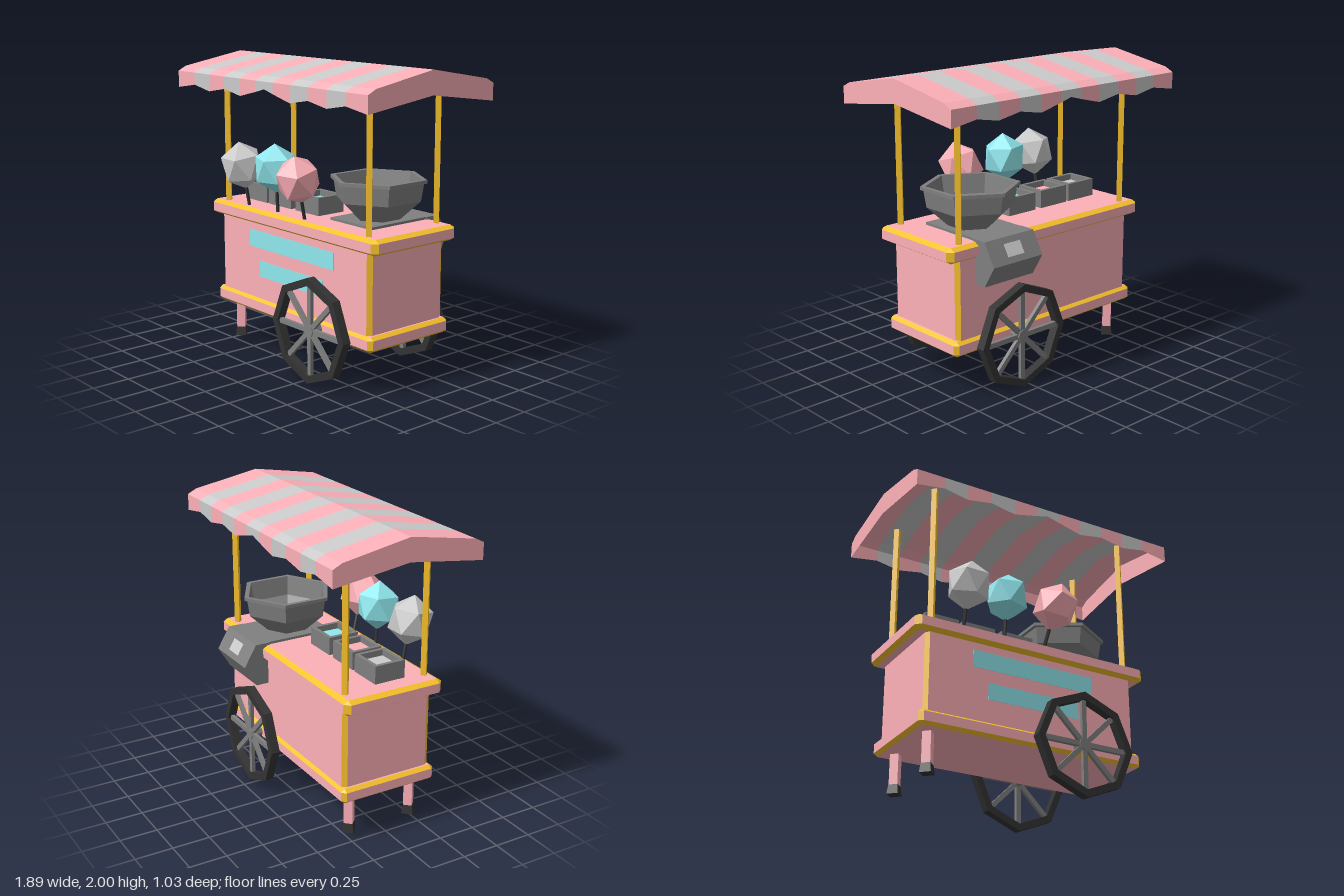
import * as THREE from 'three';
import { ConvexGeometry } from 'three/addons/geometries/ConvexGeometry.js';

const mat = (color) => new THREE.MeshStandardMaterial({ color, flatShading: true, side: THREE.DoubleSide });

export function createModel() {
  const root = new THREE.Group();
  const pink = mat(0xfeb0b8), grey = mat(0xcccccc), teal = mat(0x90e8ee), gold = mat(0xf9c22b);
  const steel = mat(0x808080), dark = mat(0x333333);

  const add = (name, geometry, material, x = 0, y = 0, z = 0, parent = root) => {
    const m = new THREE.Mesh(geometry, material);
    m.name = name;
    m.position.set(x, y, z);
    parent.add(m);
    return m;
  };
  const box = (w, h, d) => new THREE.BoxGeometry(w, h, d);
  const soup = (positions) => {
    const g = new THREE.BufferGeometry();
    g.setAttribute('position', new THREE.Float32BufferAttribute(positions, 3));
    g.computeVertexNormals();
    return g;
  };

  // Box with bevelled edges: flat sides in pink, bevels in gold
  function trimmedBox(name, w, h, d, bx, by, bz, y) {
    const points = [];
    for (const i of [-1, 1]) for (const j of [-1, 1]) for (const k of [-1, 1]) {
      const X = w / 2, Y = h / 2, Z = d / 2;
      points.push(
        new THREE.Vector3(i * X, j * (Y - by), k * (Z - bz)),
        new THREE.Vector3(i * (X - bx), j * Y, k * (Z - bz)),
        new THREE.Vector3(i * (X - bx), j * (Y - by), k * Z));
    }
    const hull = new ConvexGeometry(points);
    const p = hull.attributes.position.array, n = hull.attributes.normal.array;
    const sides = [], bevels = [];
    for (let t = 0; t < p.length; t += 9) {
      const flat = Math.max(Math.abs(n[t]), Math.abs(n[t + 1]), Math.abs(n[t + 2])) > 0.99;
      (flat ? sides : bevels).push(...p.slice(t, t + 9));
    }
    add(name, soup(sides), pink, 0, y);
    add(name + 'Trim', soup(bevels), gold, 0, y);
  }
  trimmedBox('counter', 1.67, 0.1, 0.705, 0.035, 0.02, 0.035, 0.96);
  trimmedBox('cartBody', 1.5, 0.53, 0.635, 0.022, 0.008, 0.03, 0.655);
  trimmedBox('baseBoard', 1.575, 0.1, 0.68, 0.026, 0.02, 0.026, 0.35);

  // Front stripes
  add('upperStripe', box(0.86, 0.115, 0.004), teal, 0, 0.803, 0.318);
  add('lowerStripe', box(0.65, 0.11, 0.004), teal, 0, 0.605, 0.318);

  // Canopy posts
  for (const x of [-0.71, 0.71]) for (const z of [-0.285, 0.285])
    add('post', new THREE.CylinderGeometry(0.025, 0.025, 0.94, 4), gold, x, 1.475, z);

  // Striped canopy with a scalloped valance at front and back
  const edges = [-0.945, -0.755, -0.59, -0.42, -0.25, -0.085, 0, 0.085, 0.25, 0.42, 0.59, 0.755, 0.945];
  const hems = [1.78, 1.81, 1.78, 1.81, 1.78, 1.82, 1.843, 1.82, 1.78, 1.81, 1.78, 1.81, 1.78];
  const section = (hem) => [[0.515, hem], [0.515, 1.89], [0.455, 1.92], [0, 2],
    [-0.455, 1.92], [-0.515, 1.89], [-0.515, hem]];
  const stripes = [[], []];
  for (let i = 0; i < 12; i++) {
    const a = section(hems[i]).map(([z, y]) => [edges[i], y, z]);
    const b = section(hems[i + 1]).map(([z, y]) => [edges[i + 1], y, z]);
    const target = stripes[(i < 6 ? i : 11 - i) % 2];
    for (let j = 0; j < 6; j++)
      target.push(...a[j], ...b[j], ...b[j + 1], ...a[j], ...b[j + 1], ...a[j + 1]);
  }
  add('canopyPinkStripes', soup(stripes[0]), pink);
  add('canopyGreyStripes', soup(stripes[1]), grey);
  const gable = new THREE.Shape([...section(1.78), [0, 1.85]].map(([z, y]) => new THREE.Vector2(z, y)));
  for (const s of [-1, 1])
    add('canopyGable', new THREE.ShapeGeometry(gable), pink, s * 0.945).rotation.y = -Math.PI / 2;

  // Wheels: octagonal rim, eight spokes, hub
  const octagon = (r) => Array.from({ length: 8 }, (_, i) =>
    new THREE.Vector2(r * Math.cos(i * Math.PI / 4), r * Math.sin(i * Math.PI / 4)));
  const rim = new THREE.Shape(octagon(0.346));
  rim.holes.push(new THREE.Path(octagon(0.297)));
  for (const s of [-1, 1]) {
    const wheel = new THREE.Group();
    wheel.name = 'wheel';
    wheel.position.set(0.305, 0.348, s * 0.405);
    root.add(wheel);
    add('rim', new THREE.ExtrudeGeometry(rim, { depth: 0.06, bevelEnabled: false }), dark, 0, 0, -0.03, wheel);
    for (let i = 0; i < 4; i++)
      add('spokes', box(0.61, 0.033, 0.025), steel, 0, 0, 0, wheel).rotation.z = i * Math.PI / 4;
    add('hub', new THREE.CylinderGeometry(0.042, 0.042, 0.04, 8), steel, 0, 0, 0, wheel).rotation.x = Math.PI / 2;
  }
  add('axle', new THREE.CylinderGeometry(0.036, 0.036, 0.8, 8), steel, 0.305, 0.35).rotation.x = Math.PI / 2;

  // Legs with flared feet
  for (const z of [-0.228, 0.222]) {
    add('leg', new THREE.CylinderGeometry(0.04, 0.04, 0.22, 4), pink, -0.675, 0.2, z);
    add('foot', new THREE.CylinderGeometry(0.042, 0.052, 0.06, 4), dark, -0.675, 0.072, z);
  }

  // Candy on sticks, each leaning from its base towards its head
  const candies = [
    [[-0.485, 1.01, 0.28], [-0.48, 1.286, 0.335], grey, 0.3],
    [[-0.188, 1.01, 0.27], [-0.18, 1.3, 0.29], teal, 0],
    [[0.1, 1.01, 0.28], [0.14, 1.282, 0.365], pink, 0.6]];
  for (const [from, to, material, spin] of candies) {
    const base = new THREE.Vector3(...from), lean = new THREE.Vector3(...to).sub(base);
    const length = lean.length();
    const candy = new THREE.Group();
    candy.name = 'candy';
    candy.position.copy(base);
    candy.quaternion.setFromUnitVectors(new THREE.Vector3(0, 1, 0), lean.normalize());
    root.add(candy);
    add('stick', new THREE.CylinderGeometry(0.012, 0.012, length, 6), dark, 0, length / 2, 0, candy);
    const ball = new THREE.IcosahedronGeometry(0.15, 0);
    ball.rotateZ(-0.5536).rotateY(spin).scale(1, 1.1, 1);
    add('candyBall', ball, material, 0, length, 0, candy);
  }

  // Open ingredient trays
  const w = 0.235, d = 0.215, wall = 0.025;
  [[-0.57, grey], [-0.31, pink], [-0.027, teal]].forEach(([x, filling]) => {
    const tray = new THREE.Group();
    tray.name = 'tray';
    tray.position.set(x, 1.068, 0.05);
    root.add(tray);
    for (const s of [-1, 1]) {
      add('trayEnd', box(wall, 0.12, d), steel, s * (w - wall) / 2, 0, 0, tray);
      add('traySide', box(w - 2 * wall, 0.12, wall), steel, 0, 0, s * (d - wall) / 2, tray);
    }
    add('filling', box(w - 2 * wall, 0.08, d - 2 * wall), filling, 0, -0.02, 0, tray);
  });

  // Spinning bowl on its plate
  add('bowlPlate', box(0.385, 0.018, 0.55), steel, 0.41, 1.017, -0.11);
  const bowl = [[0, 1.02], [0.14, 1.02], [0.28, 1.15], [0.298, 1.262], [0.318, 1.265], [0.318, 1.287],
    [0.285, 1.287], [0.262, 1.16], [0.12, 1.05], [0, 1.05]].map(([r, y]) => new THREE.Vector2(r, y));
  add('bowl', new THREE.LatheGeometry(bowl, 6), steel, 0.418, 0, -0.058);

  // Machine housing hung on the back, with a small panel on its slope
  const side = new THREE.Shape([[-0.3, 0.74], [-0.405, 0.74], [-0.49, 0.882], [-0.405, 1.026], [-0.3, 1.026]]
    .map(([z, y]) => new THREE.Vector2(z, y)));
  add('machineHousing', new THREE.ExtrudeGeometry(side, { depth: 0.4, bevelEnabled: false }), steel, 0.61)
    .rotation.y = -Math.PI / 2;
  add('controlPanel', box(0.13, 0.085, 0.006), grey, 0.41, 0.954, -0.4485).rotation.x = 0.533;

  return root;
}
